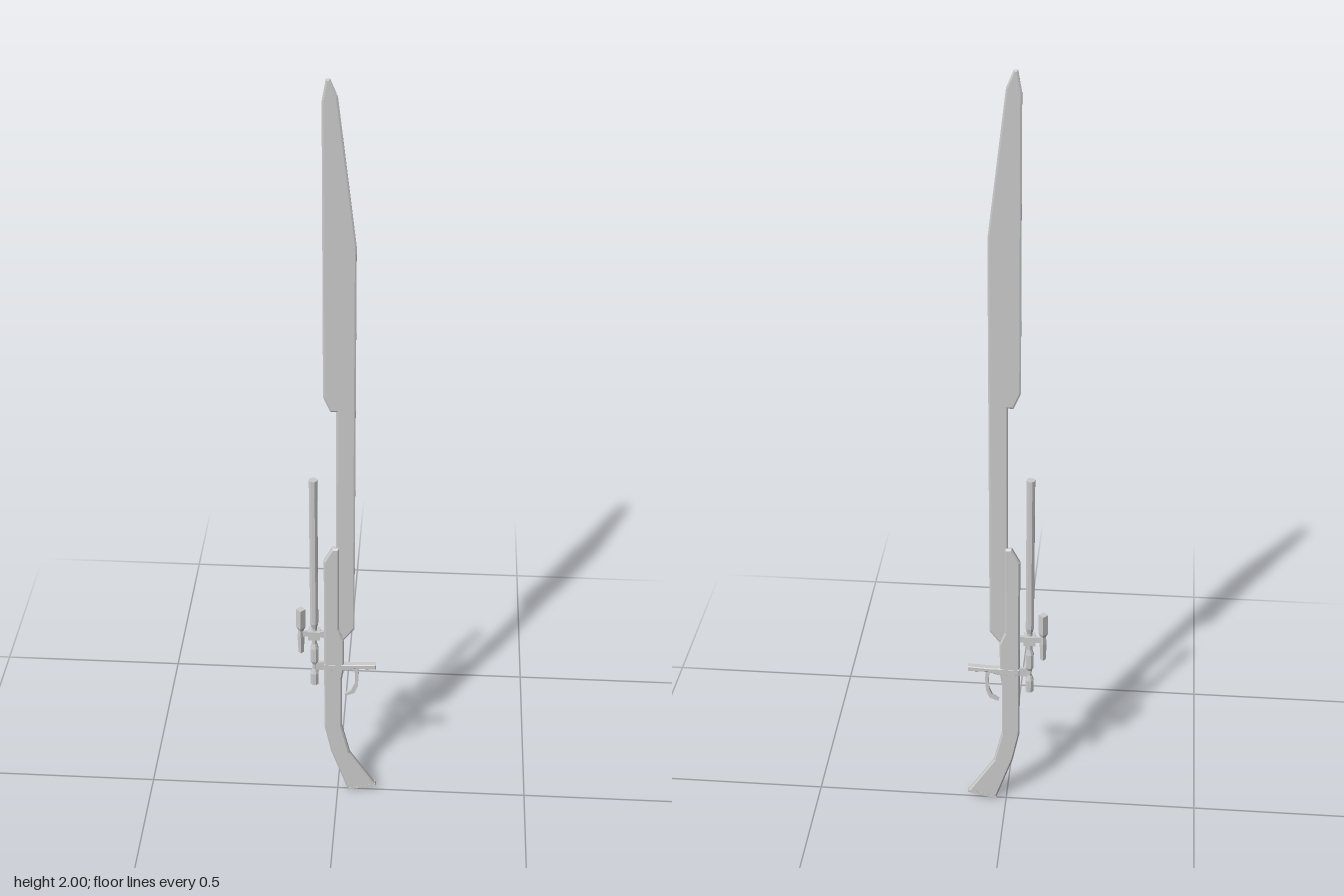
import * as THREE from 'three';

const material = new THREE.MeshStandardMaterial({ color: 0xcccccc, flatShading: true });

export function createModel() {
  const model = new THREE.Group();
  model.name = 'riflesword';

  const add = (name, geometry, parent = model) => {
    const mesh = new THREE.Mesh(geometry, material);
    mesh.name = name;
    parent.add(mesh);
    return mesh;
  };

  // Flat outline in x/y, centred on z = 0, with chamfered edges kept inside it
  const plate = (name, points, thickness, bevel, bevelDepth) => {
    const shape = new THREE.Shape(points.map(([x, y]) => new THREE.Vector2(x, y)));
    const depth = thickness - 2 * bevelDepth;
    const geometry = new THREE.ExtrudeGeometry(shape, {
      depth, bevelEnabled: bevel > 0, bevelSize: bevel, bevelOffset: -bevel,
      bevelThickness: bevelDepth, bevelSegments: 1,
    });
    geometry.translate(0, 0, -depth / 2);
    return add(name, geometry);
  };

  // Faceted turned part standing upright; profile is [radius, y]
  const turned = (name, x, profile, sides, turn, parent) => {
    const geometry = new THREE.LatheGeometry(profile.map(([r, y]) => new THREE.Vector2(r, y)), sides, turn);
    geometry.translate(x, 0, 0);
    return add(name, geometry, parent);
  };

  const box = (name, w, h, d, x, y, parent) => {
    const geometry = new THREE.BoxGeometry(w, h, d);
    geometry.translate(x, y, 0);
    return add(name, geometry, parent);
  };

  // Long blade with a clipped tip and a narrow waist
  plate('blade', [
    [-0.026, 2], [-0.035, 1.95], [-0.035, 1.22], [-0.018, 1.18], [-0.004, 1.18],
    [-0.004, 0.5], [0.016, 0.505], [0.042, 0.54], [0.042, 1.61], [0, 1.96], [-0.017, 2],
  ], 0.006, 0.004, 0.002);

  // Forestock, grip and flared butt in one chamfered body
  plate('stock', [
    [-0.035, 0.75], [-0.035, 0.22], [-0.018, 0.135], [0.026, 0.005], [0.1, 0.022],
    [0.032, 0.13], [0.011, 0.22], [0.011, 0.38], [0.016, 0.41], [0.016, 0.505],
    [0.003, 0.54], [0.003, 0.79], [-0.014, 0.79],
  ], 0.016, 0.004, 0.004);

  // Butt plate on the sloping end of the stock
  plate('buttPlate', [[0.026, 0], [0.102, 0.018], [0.1, 0.024], [0.026, 0.007]], 0.014, 0, 0);

  // Crossguard and the curved trigger below it
  plate('crossguard', [
    [-0.035, 0.408], [0.022, 0.408], [0.042, 0.416], [0.098, 0.416],
    [0.098, 0.431], [0.04, 0.428], [-0.035, 0.428],
  ], 0.017, 0.002, 0.002);
  plate('trigger', [
    [0.04, 0.418], [0.045, 0.395], [0.044, 0.362], [0.036, 0.342], [0.018, 0.329],
    [0.02, 0.323], [0.043, 0.333], [0.052, 0.357], [0.054, 0.395], [0.052, 0.418],
  ], 0.008, 0, 0);

  // Main sight: long tube with waists and a flared eyepiece
  const sight = new THREE.Group();
  sight.name = 'mainSight';
  model.add(sight);
  turned('sightTube', -0.06, [
    [0, 0.36], [0.011, 0.36], [0.011, 0.395], [0.006, 0.41], [0.006, 0.425],
    [0.011, 0.435], [0.011, 0.475], [0.007, 0.49], [0.007, 0.54],
    [0.011, 0.555], [0.011, 0.987], [0, 0.987],
  ], 8, Math.PI / 8, sight);
  box('sightCollar', 0.03, 0.025, 0.024, -0.06, 0.52, sight);
  box('frontMount', 0.026, 0.018, 0.008, -0.042, 0.52, sight);
  box('rearMount', 0.026, 0.025, 0.007, -0.044, 0.418, sight);

  // Small side sight carried on a thin arm
  const side = new THREE.Group();
  side.name = 'sideSight';
  model.add(side);
  turned('sideSightTube', -0.094, [
    [0, 0.46], [0.007, 0.46], [0.009, 0.51], [0.007, 0.53],
    [0.012, 0.54], [0.012, 0.596], [0, 0.596],
  ], 4, 0, side);
  box('sideArm', 0.026, 0.016, 0.006, -0.082, 0.52, side);

  return model;
}
